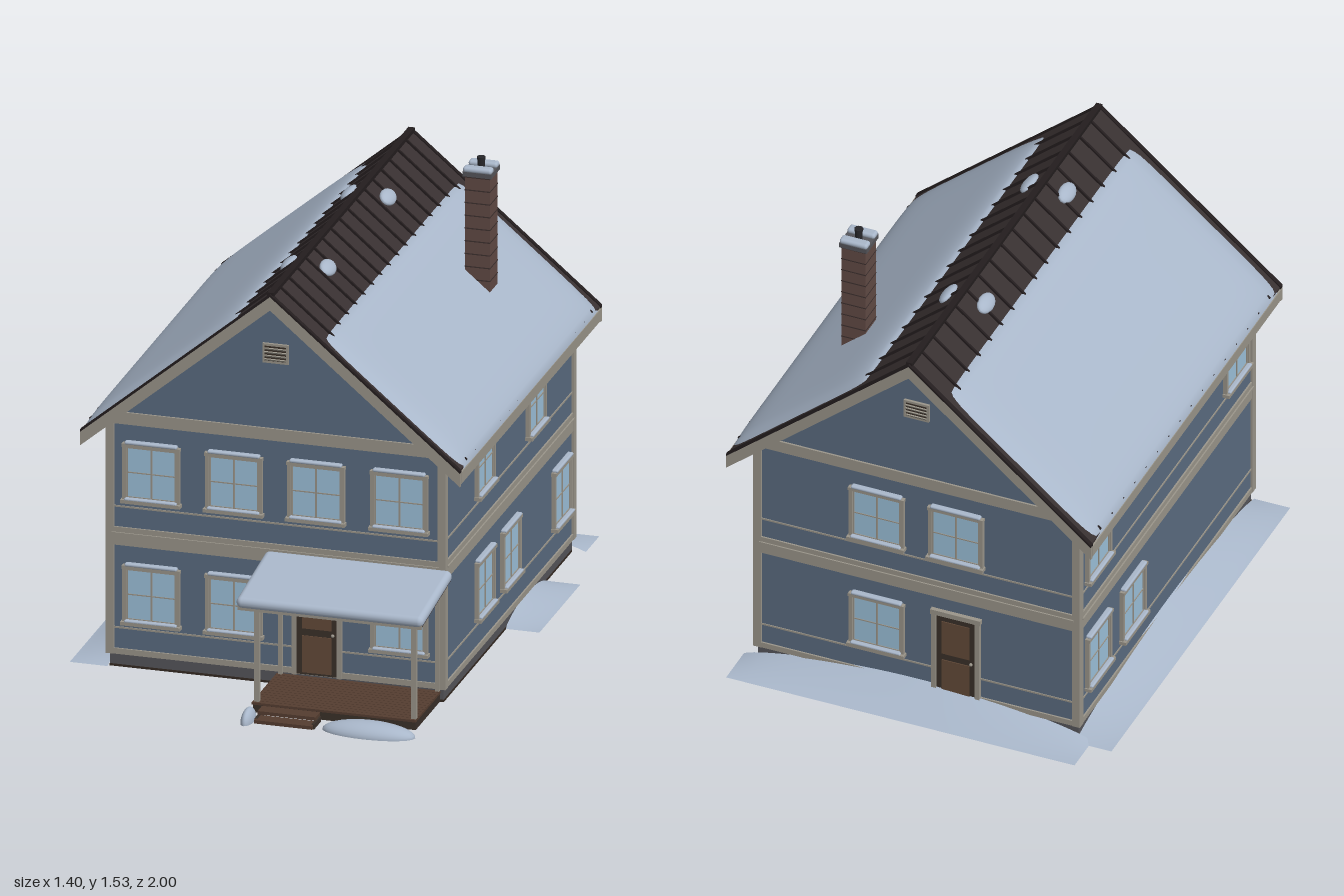
import * as THREE from 'three';
import { RoundedBoxGeometry } from 'three/addons/geometries/RoundedBoxGeometry.js';

const mat = (color, extra = {}) => { const m = new THREE.MeshStandardMaterial({ color }); return Object.assign(m, extra); };
const M = {
  wall: mat(0x5a6b80), trim: mat(0x9a958a), glass: mat(0x9cc0da), roof: mat(0x383031), seam: mat(0x231d1e),
  snow: mat(0xa9b7ca), drift: mat(0xa9b7ca, { side: THREE.DoubleSide }), door: mat(0x634a38), dark: mat(0x3a3029),
  brick: mat(0x614a45), mortar: mat(0x3d302e), stone: mat(0x55555a), deck: mat(0x553d30), metal: mat(0x26262a), floor: mat(0x352a23),
};

const CX = 0.008, ZF = 0.602, ZB = -0.851, HW = 0.579;     // wall planes
const RIDGE = 1.40, SLOPE = 0.84, EAVE = 0.655, ANG = Math.atan(SLOPE);
const RF = 0.672, RB = -0.925, RMID = (RF + RB) / 2;         // roof ends

function add(parent, name, geo, material, x = 0, y = 0, z = 0) {
  const mesh = new THREE.Mesh(geo, material);
  mesh.name = name;
  mesh.position.set(x, y, z);
  parent.add(mesh);
  return mesh;
}
const box = (p, name, m, w, h, d, x, y, z) => add(p, name, new THREE.BoxGeometry(w, h, d), m, x, y, z);
const pad = (p, name, w, h, d, x, y, z) => add(p, name, new RoundedBoxGeometry(w, h, d, 4, Math.min(w, h, d) * 0.48), M.snow, x, y, z);
function group(parent, name) {
  const g = new THREE.Group();
  g.name = name;
  parent.add(g);
  return g;
}
function prism(points, z0, z1) {
  const shape = new THREE.Shape(points.map(([x, y]) => new THREE.Vector2(x, y)));
  return new THREE.ExtrudeGeometry(shape, { depth: z1 - z0, bevelEnabled: false }).translate(0, 0, z0);
}

// Chevron cross-section of the roof between two depths below the ridge line
function chevron(top, bottom, half) {
  const e = RIDGE - SLOPE * half;
  return [[0, RIDGE - top], [-half, e - top], [-half, e - bottom], [0, RIDGE - bottom], [half, e - bottom], [half, e - top]];
}

// Lay a mesh on the roof plane; side is +1 or -1, dist is horizontal distance from the ridge
function onRoof(mesh, side, dist, z, lift) {
  mesh.position.set(side * (dist + Math.sin(ANG) * lift), RIDGE - SLOPE * dist + Math.cos(ANG) * lift, z);
  mesh.rotation.z = -side * ANG;
}

// Snow surface: a plane in xz whose height follows a rule of u and v, each from -1 to 1
function snowSurface(width, depth, heightAt) {
  const geo = new THREE.PlaneGeometry(width, depth, 36, 36).rotateX(-Math.PI / 2);
  const p = geo.attributes.position;
  const unit = (t) => THREE.MathUtils.clamp(t, -1, 1);
  for (let i = 0; i < p.count; i++) p.setY(i, heightAt(unit(2 * p.getX(i) / width), unit(2 * p.getZ(i) / depth)));
  geo.computeVertexNormals();
  return geo;
}

// Window centred on its glass, facing local +z
function makeWindow(parent, x, y) {
  const g = group(parent, 'window');
  g.position.set(x, y, 0);
  box(g, 'glass', M.glass, 0.176, 0.18, 0.008, 0, 0, 0.002);
  for (const s of [-1, 1]) {
    box(g, 'sideCasing', M.trim, 0.013, 0.2, 0.018, s * 0.092, 0, 0.005);
    box(g, 'sash', M.trim, 0.005, 0.18, 0.012, s * 0.083, 0, 0.003);
    box(g, 'sashRail', M.trim, 0.172, 0.005, 0.012, 0, s * 0.0875, 0.003);
  }
  box(g, 'headCasing', M.trim, 0.2, 0.012, 0.022, 0, 0.097, 0.007);
  box(g, 'sill', M.trim, 0.206, 0.012, 0.03, 0, -0.1, 0.01);
  box(g, 'mullion', M.trim, 0.006, 0.18, 0.012, 0, 0, 0.003);
  box(g, 'crossBar', M.trim, 0.172, 0.004, 0.011, 0, 0, 0.003);
  pad(g, 'headSnow', 0.18, 0.012, 0.022, 0, 0.106, 0.009);
  pad(g, 'sillSnow', 0.18, 0.01, 0.018, 0, -0.092, 0.016);
}

// Panelled door, facing local +z
function makeDoor(parent, x) {
  const g = group(parent, 'door');
  g.position.x = x;
  box(g, 'doorLeaf', M.dark, 0.14, 0.315, 0.012, 0, 0.21, 0.003);
  box(g, 'upperPanel', M.door, 0.1, 0.13, 0.012, 0, 0.28, 0.006);
  box(g, 'lowerPanel', M.door, 0.1, 0.13, 0.012, 0, 0.125, 0.006);
  for (const s of [-1, 1]) box(g, 'jamb', M.trim, 0.016, 0.33, 0.02, s * 0.078, 0.215, 0.004);
  box(g, 'lintel', M.trim, 0.18, 0.018, 0.022, 0, 0.377, 0.005);
  add(g, 'knob', new THREE.SphereGeometry(0.006, 10, 8), M.trim, 0.056, 0.2, 0.014);
}

// One facade: bands, corner boards and openings; local +z points outwards
function makeFacade(parent, name, x, z, turn, width, upper, lower, doors, gable) {
  const g = group(parent, name);
  g.position.set(x, 0, z);
  g.rotation.y = turn;
  const bands = [[0.06, 0.02, 0.012], [0.143, 0.006, 0.006], [0.456, 0.042, 0.012], [0.478, 0.006, 0.022], [0.49, 0.018, 0.012], [0.571, 0.006, 0.006]];
  if (gable) bands.push([0.885, 0.042, 0.014]);
  for (const [y, h, d] of bands) box(g, 'trimBand', M.trim, width - 0.03, h, d, 0, y, 0);
  for (const s of [-1, 1]) box(g, 'cornerBoard', M.trim, 0.028, 0.82, 0.015, s * (width / 2 - 0.007), 0.46, 0);
  for (const wx of upper) makeWindow(g, wx, 0.697);
  for (const wx of lower) makeWindow(g, wx, 0.266);
  for (const dx of doors) makeDoor(g, dx);
  if (gable) {
    box(g, 'ventFrame', M.trim, 0.09, 0.068, 0.012, 0, 1.172, 0.003);
    box(g, 'ventOpening', M.dark, 0.074, 0.052, 0.014, 0, 1.172, 0.003);
    for (let i = 0; i < 4; i++) {
      box(g, 'ventSlat', M.trim, 0.074, 0.006, 0.014, 0, 1.153 + i * 0.0127, 0.006).rotation.x = 0.5;
    }
  }
}

// Snow drift sloping from a wall out to the ground, highest halfway along; local +z points away from the wall
function makeDrift(parent, length, depth, height, x, z, turn) {
  const rule = (u, v) => 0.004 + height * (1 - u * u) ** 0.8 * ((1 - v) / 2) ** 1.1;
  const geo = snowSurface(length, depth, rule).translate(0, 0, depth / 2);
  add(parent, 'snowDrift', geo, M.drift, x, 0, z).rotation.y = turn;
}

function makeRoof(parent) {
  const g = group(parent, 'roof');
  add(g, 'roofDeck', prism(chevron(0, 0.045, EAVE - 0.004), RB + 0.012, RF - 0.012), M.roof);
  add(g, 'frontRake', prism(chevron(0.002, 0.052, EAVE), RF - 0.014, RF), M.trim);
  add(g, 'backRake', prism(chevron(0.002, 0.052, EAVE), RB, RB + 0.014), M.trim);
  for (const z of [RF - 0.007, RB + 0.007]) add(g, 'rakeCap', prism(chevron(-0.005, 0.004, EAVE), z - 0.008, z + 0.008), M.seam);
  box(g, 'ridgeCap', M.seam, 0.022, 0.014, RF - RB - 0.01, 0, RIDGE + 0.002, RMID);
  const len = EAVE / Math.cos(ANG);
  // Domed snow sheet with edges tucked down to the deck
  const dome = (u, v) => -0.012 + 0.033 * ((1 - u ** 6) * (1 - v ** 12)) ** 0.5;
  for (const s of [-1, 1]) {
    box(g, 'eaveFascia', M.trim, 0.012, 0.04, RF - RB - 0.02, s * (EAVE - 0.004), RIDGE - SLOPE * EAVE - 0.024, RMID);
    for (let i = 1; i < 17; i++) {
      onRoof(box(g, 'roofSeam', M.seam, len - 0.02, 0.012, 0.008), s, EAVE / 2, RB + i * (RF - RB) / 17, 0.001);
    }
    const from = s > 0 ? 0.165 : 0.115, to = 0.664;
    const sheet = add(g, 'roofSnow', snowSurface((to - from) / Math.cos(ANG), 1.57, dome), M.drift);
    onRoof(sheet, s, (from + to) / 2, RMID + 0.002, 0);
    // Small leftover lumps near the ridge
    for (const z of [-0.435, 0.24]) {
      const lump = add(g, 'snowLump', new THREE.SphereGeometry(1, 16, 10), M.snow);
      lump.scale.set(0.03, 0.016, 0.052);
      onRoof(lump, s, 0.065, z, 0.004);
    }
  }
}

function makeChimney(parent) {
  const g = group(parent, 'chimney');
  g.position.set(0.395, 0, -0.44);
  box(g, 'chimneyShaft', M.brick, 0.086, 0.48, 0.086, 0, 1.23, 0);
  for (let i = 0; i < 10; i++) box(g, 'mortarCourse', M.mortar, 0.088, 0.004, 0.088, 0, 1.06 + i * 0.045, 0);
  box(g, 'chimneyCap', M.stone, 0.1, 0.016, 0.1, 0, 1.477, 0);
  for (const s of [-1, 1]) pad(g, 'capSnow', 0.1, 0.02, 0.036, 0, 1.491, s * 0.032);
  add(g, 'flue', new THREE.CylinderGeometry(0.013, 0.013, 0.045, 12), M.metal, 0, 1.5, 0);
  add(g, 'flueCap', new THREE.CylinderGeometry(0.015, 0.015, 0.008, 12), M.metal, 0, 1.522, 0);
}

function makePorch(parent) {
  const g = group(parent, 'porch');
  const mid = 0.295;
  box(g, 'deckFrame', M.dark, 0.56, 0.03, 0.275, mid, 0.023, 0.745);
  for (let i = 0; i < 14; i++) box(g, 'deckBoard', M.deck, 0.565, 0.008, 0.018, mid, 0.042, 0.618 + i * 0.0203);
  box(g, 'upperStep', M.deck, 0.2, 0.012, 0.05, 0.147, 0.03, 0.912);
  box(g, 'lowerStep', M.deck, 0.2, 0.012, 0.05, 0.147, 0.014, 0.955);
  for (const x of [0.05, 0.245]) box(g, 'stringer', M.dark, 0.01, 0.018, 0.08, x, 0.012, 0.925);
  for (const x of [0.026, 0.567]) {
    box(g, 'post', M.trim, 0.018, 0.34, 0.018, x, 0.215, 0.873);
    box(g, 'wallPost', M.trim, 0.014, 0.37, 0.014, x, 0.23, 0.612);
    box(g, 'sideBeam', M.trim, 0.014, 0.018, 0.28, x, 0.405, 0.745).rotation.x = 0.14;
  }
  box(g, 'frontBeam', M.trim, 0.61, 0.02, 0.02, mid, 0.388, 0.873);
  box(g, 'porchRoof', M.roof, 0.63, 0.016, 0.33, mid, 0.42, 0.77).rotation.x = 0.14;
  box(g, 'porchFascia', M.trim, 0.634, 0.02, 0.01, mid, 0.396, 0.934);
  pad(g, 'porchSnow', 0.645, 0.04, 0.35, mid, 0.433, 0.773).rotation.x = 0.14;
}

export function createModel() {
  const root = new THREE.Group();
  root.name = 'house';
  const house = group(root, 'mainHouse');
  house.position.x = CX;

  // Walls with gables, foundation and underside
  const top = (x) => RIDGE - SLOPE * x - 0.04;
  add(house, 'walls', prism([[-HW, 0.05], [HW, 0.05], [HW, top(HW)], [0, top(0)], [-HW, top(HW)]], ZB, ZF), M.wall);
  box(house, 'foundation', M.stone, 1.15, 0.048, 1.44, 0, 0.029, -0.125);
  box(house, 'underside', M.floor, 1.152, 0.008, 1.442, 0, 0.006, -0.125);

  // Facades; side windows are given along the local axis of each wall
  const zm = (ZF + ZB) / 2, w = HW * 2, d = ZF - ZB;
  const alongZ = (list, sign) => list.map((z) => sign * (z - zm));
  makeFacade(house, 'frontFacade', 0, ZF, 0, w, [-0.428, -0.143, 0.14, 0.427], [-0.428, -0.143, 0.427], [0.143], true);
  makeFacade(house, 'backFacade', 0, ZB, Math.PI, w, [-0.142, 0.142], [-0.142], [0.142], true);
  makeFacade(house, 'leftFacade', HW, zm, Math.PI / 2, d, alongZ([0.163, -0.412], -1), alongZ([0.163, -0.126, -0.7], -1), [], false);
  makeFacade(house, 'rightFacade', -HW, zm, -Math.PI / 2, d, alongZ([0.45, -0.7], 1), alongZ([-0.412, -0.7], 1), [], false);

  makeRoof(house);
  makeChimney(root);
  makePorch(root);

  // Snow on the ground
  const snow = group(root, 'groundSnow');
  makeDrift(snow, 1.25, 0.15, 0.075, 0.005, -0.85, Math.PI);
  makeDrift(snow, 1.49, 0.13, 0.07, -0.571, -0.135, -Math.PI / 2);
  makeDrift(snow, 0.46, 0.12, 0.04, 0.58, -0.33, Math.PI / 2);
  for (const [x, z, rx, h, rz] of [[0.43, 0.935, 0.16, 0.042, 0.06], [0.016, 0.94, 0.022, 0.045, 0.055]]) {
    add(snow, 'snowMound', new THREE.SphereGeometry(1, 24, 8, 0, Math.PI * 2, 0, Math.PI / 2), M.drift, x, 0, z).scale.set(rx, h, rz);
  }
  return root;
}
